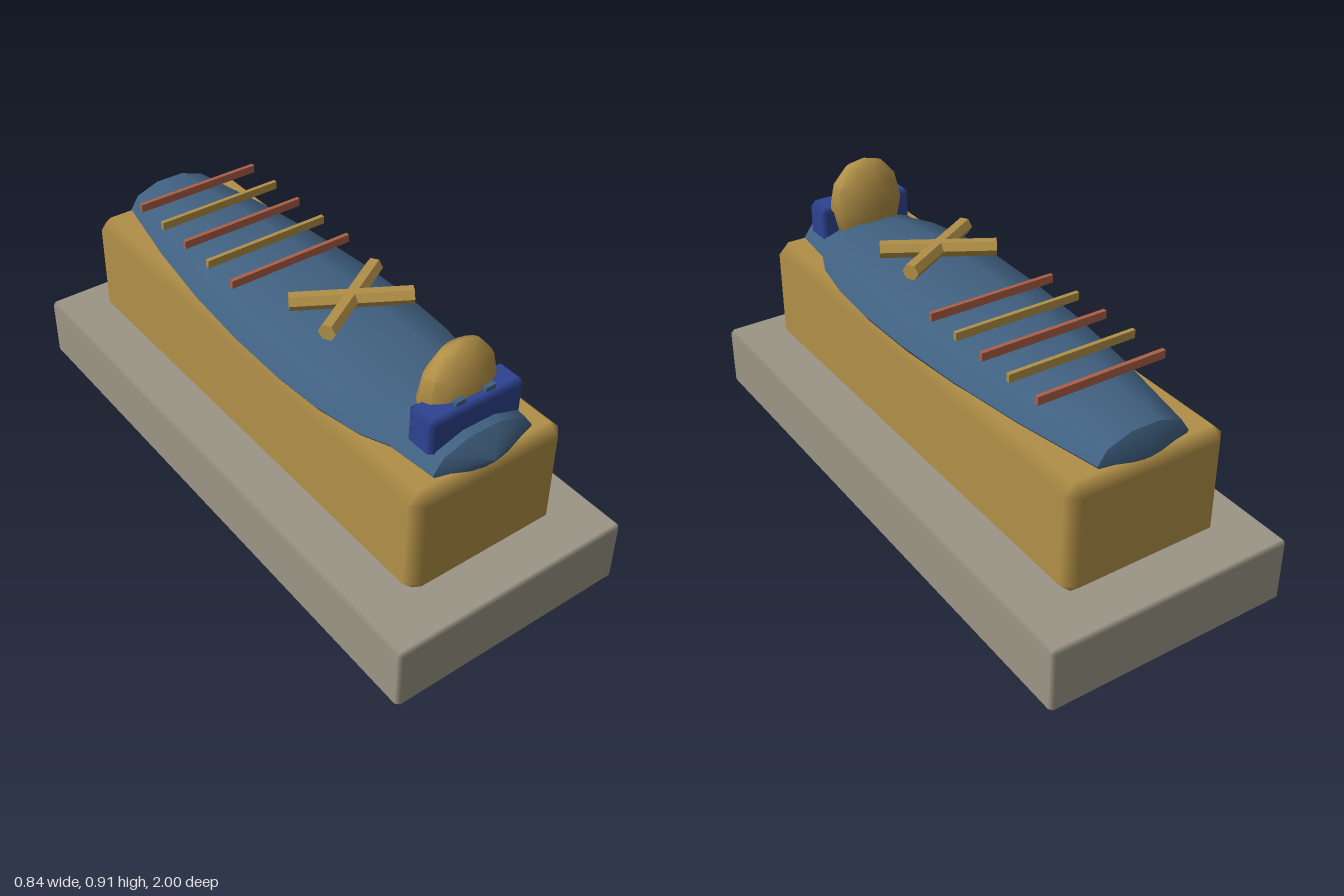
import * as THREE from 'three';
import { toCreasedNormals } from 'three/addons/utils/BufferGeometryUtils.js';
import { ConvexGeometry } from 'three/addons/geometries/ConvexGeometry.js';

const material = (name, color) => {
  const m = new THREE.MeshStandardMaterial({ color });
  m.name = name;
  return m;
};

// Box with chamfered edges; chamfers blend between the flat main faces
function chamferBox(w, h, d, c) {
  const half = [w / 2, h / 2, d / 2];
  const points = [];
  for (let axis = 0; axis < 3; axis++)
    for (const sx of [-1, 1]) for (const sy of [-1, 1]) for (const sz of [-1, 1]) {
      const p = [sx, sy, sz].map((s, i) => s * (half[i] - (i === axis ? 0 : c)));
      points.push(new THREE.Vector3(...p));
    }
  const geo = new ConvexGeometry(points);
  const pos = geo.attributes.position;
  for (let i = 0; i < pos.count; i++) {
    const p = [pos.getX(i), pos.getY(i), pos.getZ(i)];
    geo.attributes.normal.setXYZ(i, ...p.map((v, k) =>
      Math.abs(Math.abs(v) - half[k]) < 1e-4 ? Math.sign(v) : 0));
  }
  return geo;
}

// Ten-sided elliptical rings [z, rx, ry] joined along z, with pointed ends
function loft(rings, frontTip, backTip, sides = 10) {
  const pos = [], index = [];
  for (const [z, rx, ry] of rings)
    for (let i = 0; i < sides; i++) {
      const a = (i / sides) * Math.PI * 2;
      pos.push(rx * Math.cos(a), ry * Math.sin(a), z);
    }
  const front = rings.length * sides, back = front + 1;
  pos.push(0, 0, frontTip, 0, 0, backTip);
  const last = (rings.length - 1) * sides;
  for (let i = 0; i < sides; i++) {
    const j = (i + 1) % sides;
    for (let r = 0; r < last; r += sides) {
      const a = r + i, b = r + j, c = a + sides, d = b + sides;
      index.push(a, c, b, b, c, d);
    }
    index.push(front, i, j, back, last + j, last + i);
  }
  const geo = new THREE.BufferGeometry();
  geo.setAttribute('position', new THREE.Float32BufferAttribute(pos, 3));
  geo.setIndex(index);
  return toCreasedNormals(geo, 0.7);
}

export function createModel() {
  const model = new THREE.Group();
  model.name = 'sarcophagus';
  const stone = material('stone', 0x9b9585);
  const gold = material('gold', 0xb18f47);
  const blue = material('slate blue', 0x406080);
  const navy = material('navy', 0x2e4290);
  const rust = material('rust', 0xab5f46);

  const add = (name, geo, mat, x, y, z) => {
    const mesh = new THREE.Mesh(geo, mat);
    mesh.name = name;
    mesh.position.set(x, y, z);
    model.add(mesh);
    return mesh;
  };

  // Plinth and chest
  add('plinth', chamferBox(0.842, 0.222, 2, 0.012), stone, 0, 0.111, 0);
  add('chest', chamferBox(0.55, 0.375, 1.73, 0.037), gold, 0, 0.4095, 0);

  // Body-shaped lid, from head end to foot end
  const lid = [
    [0.815, 0.18, 0.081], [0.65, 0.196, 0.09], [0.56, 0.235, 0.106],
    [0.4, 0.264, 0.119], [0.22, 0.275, 0.125], [0, 0.272, 0.123],
    [-0.25, 0.253, 0.115], [-0.52, 0.216, 0.1], [-0.82, 0.158, 0.077],
  ];
  add('lid', loft(lid, 0.865, -0.847), blue, 0, 0.605, 0);

  // Headdress block, head and eyes
  add('headdress', chamferBox(0.338, 0.128, 0.105, 0.017), navy, 0, 0.695, 0.732);
  const head = new THREE.SphereGeometry(1, 14, 6).scale(0.135, 0.16, 0.066);
  add('head', toCreasedNormals(head, 0.7), gold, 0, 0.747, 0.69);
  for (const side of [-1, 1])
    add(side > 0 ? 'leftEye' : 'rightEye', new THREE.BoxGeometry(0.035, 0.03, 0.016),
      blue, side * 0.053, 0.759, 0.76);

  // Crossed six-sided rods over the chest
  for (const side of [-1, 1]) {
    const rod = new THREE.CylinderGeometry(0.028, 0.028, 0.37, 6).rotateZ(Math.PI / 2);
    const mesh = add(side > 0 ? 'crookRod' : 'flailRod',
      toCreasedNormals(rod, 0.7), gold, 0, 0.767, 0.218);
    mesh.rotation.y = side * 0.53;
  }

  // Bands across the legs, alternating in colour
  for (let i = 0; i < 5; i++)
    add('band' + (i + 1), new THREE.BoxGeometry(0.442, 0.027, 0.014),
      i % 2 ? gold : rust, 0, 0.732, -0.09 - i * 0.134);

  return model;
}
